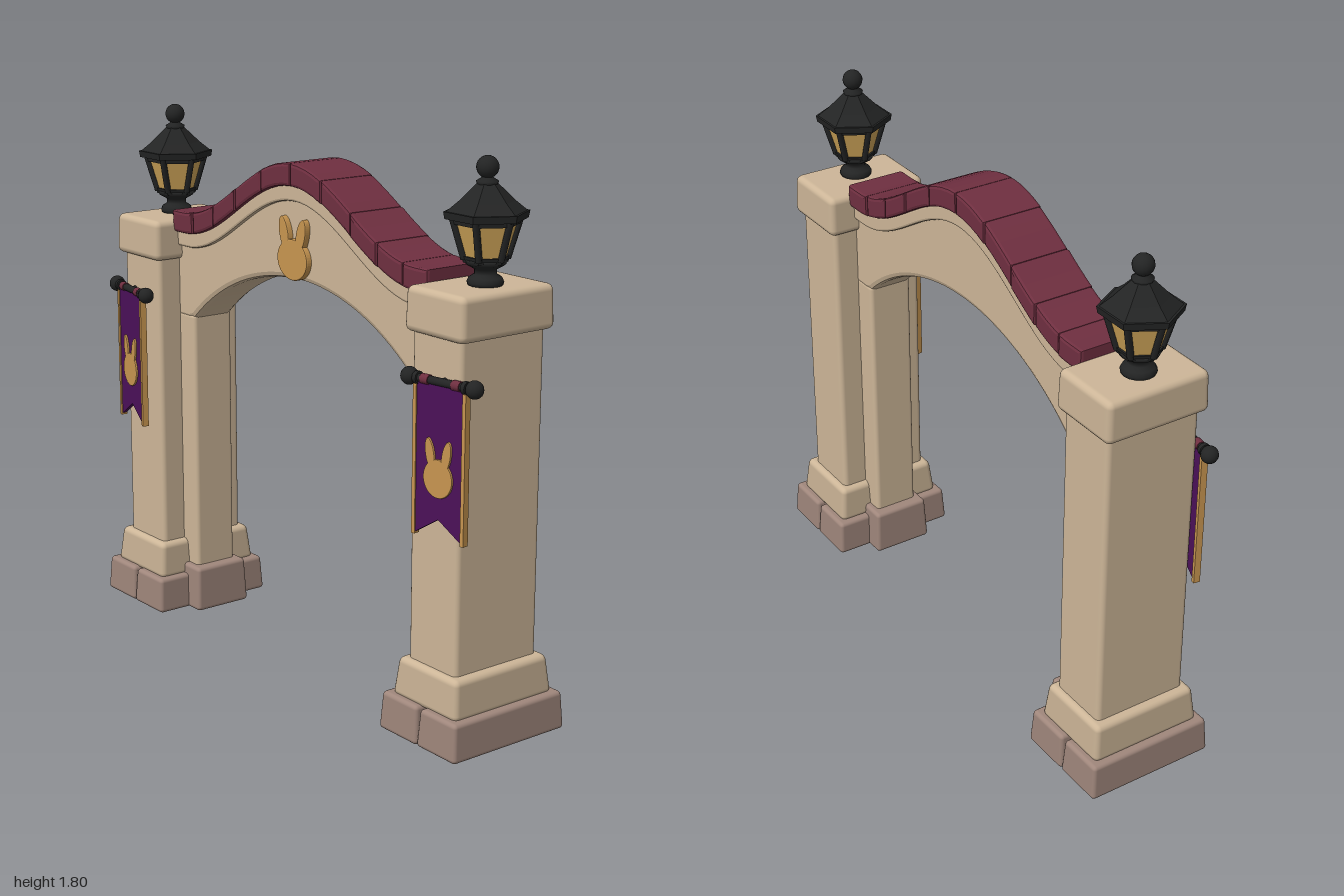
import * as THREE from 'three';
import { RoundedBoxGeometry } from 'three/addons/geometries/RoundedBoxGeometry.js';

const paint = (name, color) => {
  const m = new THREE.MeshStandardMaterial({ color });
  m.name = name;
  return m;
};

export function createModel() {
  const stone = paint('cream stone', 0xcdb698);
  const footing = paint('brown stone', 0xa0877c);
  const tile = paint('maroon tile', 0x6f2f40);
  const iron = paint('black iron', 0x232424);
  const glass = paint('amber glass', 0xd0a659);
  const cloth = paint('purple cloth', 0x4b1059);
  const gold = paint('gold', 0xc79550);

  const model = new THREE.Group();
  model.name = 'gateway';

  const add = (parent, name, geometry, material, x = 0, y = 0, z = 0) => {
    const mesh = new THREE.Mesh(geometry, material);
    mesh.name = name;
    mesh.position.set(x, y, z);
    parent.add(mesh);
    return mesh;
  };

  // Soft-edged stone between y0 and y1, narrowing by "taper" on each side at the top
  const block = (parent, name, material, x, y0, y1, w, d, radius = 0.015, taper = 0) => {
    const h = y1 - y0;
    const geo = new RoundedBoxGeometry(w, h, d, 2, radius);
    const p = geo.attributes.position;
    for (let i = 0; i < p.count; i++) {
      const t = p.getY(i) / h + 0.5;
      p.setX(i, p.getX(i) * (1 - (2 * taper * t) / w));
      p.setZ(i, p.getZ(i) * (1 - (2 * taper * t) / d));
    }
    return add(parent, name, geo, material, x, y0 + h / 2, 0);
  };

  // Extrusion centred on z, bevelled inward so the outline keeps its size
  const slab = (shapes, depth, bevel = 0, curveSegments = 24) => {
    const geo = new THREE.ExtrudeGeometry(shapes, {
      depth: depth - 2 * bevel, bevelEnabled: bevel > 0, bevelThickness: bevel,
      bevelSize: bevel, bevelOffset: -bevel, bevelSegments: 2, curveSegments,
    });
    return geo.translate(0, 0, bevel - depth / 2);
  };

  // Height of the roof ridge and of the arch opening along x
  const roofY = x => 1.455 + 0.24 * (0.5 + 0.5 * Math.cos(Math.PI * Math.min(1, Math.abs(x) / 0.62)));
  const openingY = x => 0.415 + Math.sqrt(0.895 ** 2 - x * x);

  // Shape between two height functions
  const strip = (x0, x1, low, high, n) => {
    const pts = [];
    for (let i = 0; i <= n; i++) { const x = x0 + (x1 - x0) * i / n; pts.push(new THREE.Vector2(x, low(x))); }
    for (let i = n; i >= 0; i--) { const x = x0 + (x1 - x0) * i / n; pts.push(new THREE.Vector2(x, high(x))); }
    return new THREE.Shape(pts);
  };

  // Arch wall with its moulding
  add(model, 'archWall', slab(strip(-0.72, 0.72,
    x => openingY(Math.min(0.61, Math.abs(x))), x => roofY(x) - 0.1, 48), 0.16, 0.018), stone);
  add(model, 'archMoulding', slab(strip(-0.7, 0.7,
    x => roofY(x) - 0.125, x => roofY(x) - 0.07, 40), 0.19, 0.008), stone);

  // Row of roof tiles
  const joints = [0, 0.16, 0.31, 0.44, 0.565, 0.685];
  for (const s of [-1, 1]) {
    for (let i = 0; i < 5; i++) {
      const a = s * joints[i], b = s * joints[i + 1];
      const shape = strip(Math.min(a, b) + 0.001, Math.max(a, b) - 0.001,
        x => roofY(x) - 0.075, roofY, 4);
      add(model, 'roofTile', slab(shape, 0.22 - 0.006 * (i % 2), 0.011), tile);
    }
  }

  // Rabbit-head ornament: round face and two leaning ears
  const rabbit = depth => {
    const oval = (x, y, rx, ry, turn) => new THREE.Shape().absellipse(x, y, rx, ry, 0, Math.PI * 2, false, turn);
    return slab([oval(0, 0, 0.08, 0.068, 0), oval(-0.045, 0.083, 0.024, 0.056, 0.25),
      oval(0.045, 0.083, 0.024, 0.056, -0.25)], depth, 0.004);
  };
  add(model, 'archOrnament', rabbit(0.03), gold, 0, 1.38, 0.085);

  const lantern = () => {
    const g = new THREE.Group();
    g.name = 'lantern';
    const hex = (name, rTop, rBottom, y0, y1, material) => {
      const geo = new THREE.CylinderGeometry(rTop, rBottom, y1 - y0, 6).toNonIndexed();
      geo.rotateY(Math.PI / 6);
      geo.computeVertexNormals();
      return add(g, name, geo, material, 0, (y0 + y1) / 2, 0);
    };
    const turned = pts => new THREE.LatheGeometry(pts.map(p => new THREE.Vector2(...p)), 16);
    // Turned foot
    add(g, 'lanternFoot', turned([[0, 0], [0.052, 0], [0.056, 0.012], [0.05, 0.025], [0.034, 0.035],
      [0.034, 0.05], [0.06, 0.065], [0.066, 0.08], [0, 0.085]]), iron);
    // Glass body in a six-bar frame
    hex('lanternGlass', 0.098, 0.062, 0.075, 0.2, glass);
    hex('lanternLowerRim', 0.074, 0.068, 0.07, 0.09, iron);
    hex('lanternUpperRim', 0.108, 0.104, 0.185, 0.205, iron);
    for (let i = 0; i < 6; i++) {
      const a = i * Math.PI / 3;
      const at = (r, y) => new THREE.Vector3(Math.cos(a) * r, y, Math.sin(a) * r);
      const path = new THREE.LineCurve3(at(0.065, 0.08), at(0.101, 0.2));
      add(g, 'lanternBar', new THREE.TubeGeometry(path, 1, 0.011, 6), iron);
    }
    // Hexagonal roof and finial
    hex('lanternBrim', 0.13, 0.126, 0.2, 0.222, iron);
    hex('lanternRoof', 0.085, 0.122, 0.222, 0.252, iron);
    hex('lanternRoofPeak', 0.03, 0.085, 0.252, 0.305, iron);
    add(g, 'finialNeck', turned([[0.03, 0.3], [0.034, 0.31], [0.018, 0.32], [0.016, 0.335]]), iron);
    add(g, 'finialBall', new THREE.SphereGeometry(0.034, 16, 12), iron, 0, 0.351, 0);
    return g;
  };

  const banner = () => {
    const g = new THREE.Group();
    g.name = 'banner';
    // Rod with end balls and a wall peg
    add(g, 'bannerRod', new THREE.CylinderGeometry(0.013, 0.013, 0.26, 10).rotateZ(Math.PI / 2), iron, 0, 1.155, 0);
    add(g, 'bannerPeg', new THREE.CylinderGeometry(0.012, 0.012, 0.05, 8).rotateX(Math.PI / 2), iron, 0, 1.155, -0.02);
    for (const s of [-1, 1]) {
      add(g, 'rodBall', new THREE.SphereGeometry(0.028, 14, 10), iron, s * 0.125, 1.155, 0);
      add(g, 'rodCollar', new THREE.CylinderGeometry(0.02, 0.02, 0.014, 10).rotateZ(Math.PI / 2), iron, s * 0.093, 1.155, 0);
      add(g, 'clothLoop', new THREE.CylinderGeometry(0.016, 0.016, 0.03, 10).rotateZ(Math.PI / 2), tile, s * 0.06, 1.155, 0);
      add(g, 'bannerTrim', new THREE.BoxGeometry(0.013, 0.465, 0.022), gold, s * 0.095, 0.905, 0);
    }
    // Swallow-tailed cloth
    const shape = new THREE.Shape([[-0.095, 1.148], [-0.095, 0.675], [0, 0.735], [0.095, 0.675], [0.095, 1.148]]
      .map(p => new THREE.Vector2(...p)));
    add(g, 'bannerCloth', slab(shape, 0.014), cloth);
    add(g, 'bannerOrnament', rabbit(0.012), gold, 0, 0.862, 0.008).scale.set(0.7, 0.88, 1);
    return g;
  };

  for (const s of [-1, 1]) {
    const pillar = new THREE.Group();
    pillar.name = s > 0 ? 'leftPillar' : 'rightPillar';
    model.add(pillar);
    // Footing stones
    for (const k of [-1, 1])
      block(pillar, 'footingStone', footing, s * 0.8 + k * 0.09, 0, 0.125, 0.18, 0.46, 0.014, 0.008);
    block(pillar, 'innerFooting', footing, s * 0.64, 0, 0.16, 0.17, 0.22, 0.014, 0.008);
    // Shaft, inner post, base and cap
    block(pillar, 'base', stone, s * 0.8, 0.115, 0.245, 0.3, 0.405, 0.02, 0.014);
    block(pillar, 'shaft', stone, s * 0.797, 0.2, 1.32, 0.22, 0.335, 0.018);
    block(pillar, 'innerPost', stone, s * 0.66, 0.1, 1.09, 0.12, 0.16, 0.015);
    block(pillar, 'cap', stone, s * 0.8, 1.28, 1.42, 0.265, 0.375, 0.022, 0.004);

    const lamp = lantern();
    lamp.position.set(s * 0.82, 1.418, 0);
    pillar.add(lamp);

    const flag = banner();
    flag.position.set(s * 0.843, 0, 0.184);
    flag.rotation.y = s * 0.15;
    pillar.add(flag);
  }
  return model;
}
